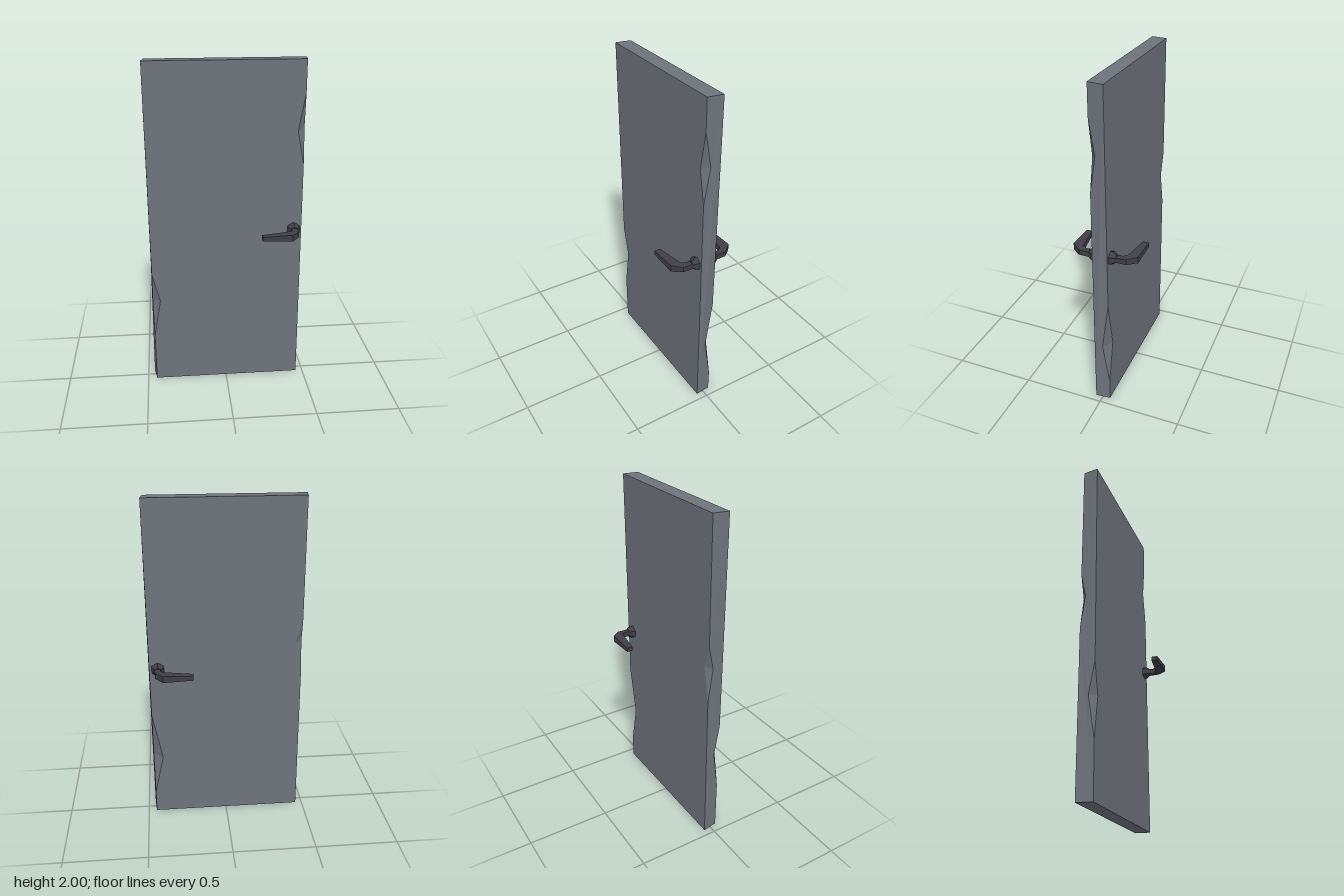
import * as THREE from 'three';

const slabMat = new THREE.MeshStandardMaterial({ name: 'slateGrey', color: 0x6e737b });
const handleMat = new THREE.MeshStandardMaterial({ name: 'darkMetal', color: 0x403e46 });

const V = (x, y, z) => new THREE.Vector3(x, y, z);
const FRONT = 0.044, BACK = -0.046, HEIGHT = 2;

// Collects flat triangles, each turned to face the given outward direction
function makeBuilder() {
  const pos = [];
  const tri = (a, b, c, out) => {
    const n = b.clone().sub(a).cross(c.clone().sub(a));
    const order = n.dot(out) < 0 ? [a, c, b] : [a, b, c];
    order.forEach((p) => pos.push(p.x, p.y, p.z));
  };
  // Fills an outline; flat() projects a point to 2D for triangulation
  const fill = (pts, flat, out) => {
    const faces = THREE.ShapeUtils.triangulateShape(pts.map(flat), []);
    faces.forEach(([a, b, c]) => tri(pts[a], pts[b], pts[c], out));
  };
  const geometry = () => {
    const g = new THREE.BufferGeometry();
    g.setAttribute('position', new THREE.Float32BufferAttribute(pos, 3));
    g.computeVertexNormals();
    return g;
  };
  return { tri, fill, geometry };
}

// The four upright edges: x at the bottom and top, and one chip on each.
// faceCut = [x, y] on the broad face, sideCut = [y, z] on the narrow face
const edges = [
  { sx: 1, sz: 1, bottom: 0.458, top: 0.447, low: 1.4, high: 1.82, faceCut: [0.41, 1.6], sideCut: [1.62, 0.01] },
  { sx: 1, sz: -1, bottom: 0.45, top: 0.46, low: 0.14, high: 0.7, faceCut: [0.395, 0.4], sideCut: [0.4, -0.005] },
  { sx: -1, sz: 1, bottom: -0.445, top: -0.46, low: 0.31, high: 0.74, faceCut: [-0.405, 0.555], sideCut: [0.55, 0.01] },
  { sx: -1, sz: -1, bottom: -0.46, top: -0.447, low: 0.94, high: 1.28, faceCut: [-0.41, 1.14], sideCut: [1.14, -0.018] },
];

function buildSlab() {
  const b = makeBuilder();
  const edgeOf = (sx, sz) => edges.find((e) => e.sx === sx && e.sz === sz);
  const zOf = (e) => (e.sz > 0 ? FRONT : BACK);
  const point = (e, y) => V(THREE.MathUtils.lerp(e.bottom, e.top, y / HEIGHT), y, zOf(e));
  const facePoint = (e) => V(e.faceCut[0], e.faceCut[1], zOf(e));
  const sidePoint = (e) => {
    const [y, z] = e.sideCut;
    const f = point(edgeOf(e.sx, 1), y).x, k = point(edgeOf(e.sx, -1), y).x;
    return V(THREE.MathUtils.lerp(k, f, (z - BACK) / (FRONT - BACK)), y, z);
  };
  const chain = (e, cut) => [point(e, 0), point(e, e.low), cut(e), point(e, e.high), point(e, HEIGHT)];

  for (const s of [1, -1]) {
    // broad faces
    b.fill([...chain(edgeOf(1, s), facePoint), ...chain(edgeOf(-1, s), facePoint).reverse()],
      (p) => new THREE.Vector2(p.x, p.y), V(0, 0, s));
    // narrow sides
    b.fill([...chain(edgeOf(s, 1), sidePoint), ...chain(edgeOf(s, -1), sidePoint).reverse()],
      (p) => new THREE.Vector2(p.z, p.y), V(s, 0, 0));
  }
  // top and bottom
  for (const y of [0, HEIGHT]) {
    const ring = [[1, 1], [1, -1], [-1, -1], [-1, 1]].map(([sx, sz]) => point(edgeOf(sx, sz), y));
    b.fill(ring, (p) => new THREE.Vector2(p.x, p.z), V(0, y - 1, 0));
  }
  // chipped edges
  for (const e of edges) {
    const out = V(e.sx, 0, e.sz);
    b.tri(point(e, e.low), facePoint(e), sidePoint(e), out);
    b.tri(point(e, e.high), facePoint(e), sidePoint(e), out);
  }
  return b.geometry();
}

// Lever sections: inner x, inner z, outer x, outer z, half height
const leverSections = [
  [0.384, 0.074, 0.422, 0.074, 0.015],
  [0.388, 0.11, 0.42, 0.141, 0.016],
  [0.375, 0.134, 0.375, 0.194, 0.02],
  [0.2, 0.158, 0.2, 0.194, 0.013],
];

function buildLever() {
  const b = makeBuilder();
  const rings = leverSections.map(([ix, iz, ox, oz, h]) =>
    [V(ix, -h, iz), V(ox, -h, oz), V(ox, h, oz), V(ix, h, iz)]);
  const normal = (p, q, r) => q.clone().sub(p).cross(r.clone().sub(p));
  const quad = (p, q, r, s) => {
    const n = normal(p, q, r);
    b.tri(p, q, r, n);
    b.tri(p, r, s, n);
  };
  for (let i = 0; i + 1 < rings.length; i++) {
    for (let j = 0; j < 4; j++) {
      const k = (j + 1) % 4;
      quad(rings[i][j], rings[i][k], rings[i + 1][k], rings[i + 1][j]);
    }
  }
  quad(...rings[rings.length - 1]);
  return b.geometry();
}

// Six-sided rose that tapers towards the lever
function buildRose() {
  const profile = [[0, 0.04], [0.041, 0.04], [0.041, 0.058], [0.024, 0.081], [0, 0.081]];
  const g = new THREE.LatheGeometry(profile.map(([r, z]) => new THREE.Vector2(r, z)), 6);
  g.rotateX(Math.PI / 2);
  g.translate(0.404, 0, 0);
  const flat = g.toNonIndexed();
  flat.computeVertexNormals();
  return flat;
}

export function createModel() {
  const model = new THREE.Group();
  model.name = 'door';
  const add = (parent, name, geometry, material) => {
    const mesh = new THREE.Mesh(geometry, material);
    mesh.name = name;
    parent.add(mesh);
  };
  add(model, 'doorSlab', buildSlab(), slabMat);

  // The same handle on both faces, turned over for the back
  const lever = buildLever(), rose = buildRose();
  for (const [name, turn] of [['frontHandle', 0], ['backHandle', Math.PI]]) {
    const handle = new THREE.Group();
    handle.name = name;
    add(handle, 'lever', lever, handleMat);
    add(handle, 'rose', rose, handleMat);
    handle.position.set(0, 1.005, -0.001);
    handle.rotation.x = turn;
    model.add(handle);
  }
  return model;
}
